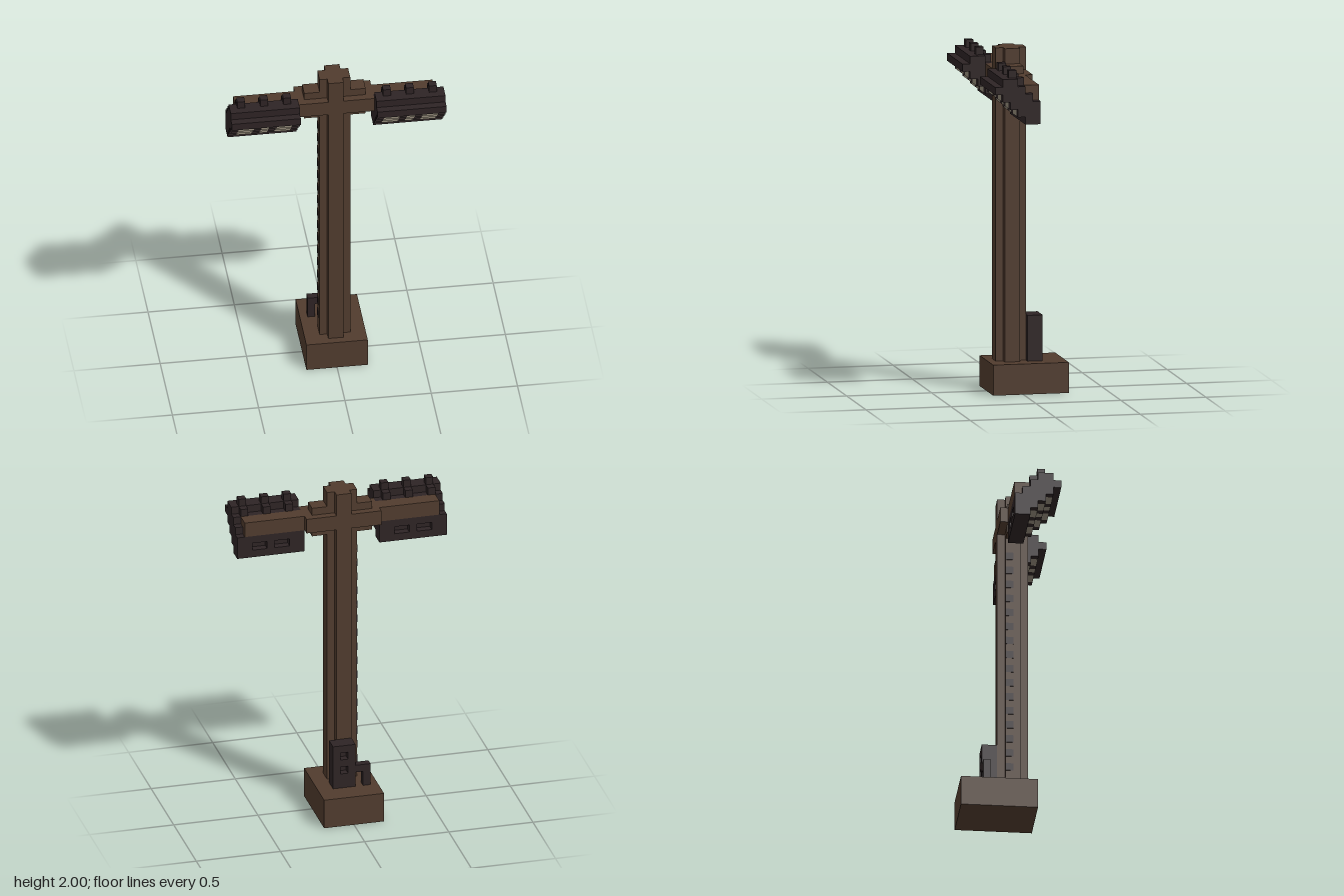
import * as THREE from 'three';

const V = 2 / 45; // one block

export function createModel() {
  const model = new THREE.Group();
  const mat = (name, color) => {
    const m = new THREE.MeshStandardMaterial({ color });
    m.name = name;
    return m;
  };
  const wood = mat('brown wood', 0x513c2e);
  const metal = mat('dark metal', 0x2e2425);
  const glass = mat('pale glass', 0x948b7a);

  // Box between block coordinates; side -1 mirrors it across x = 0
  const box = (parent, name, material, [x0, x1], [y0, y1], [z0, z1], side = 1) => {
    const mesh = new THREE.Mesh(
      new THREE.BoxGeometry((x1 - x0) * V, (y1 - y0) * V, (z1 - z0) * V), material);
    mesh.position.set(side * (x0 + x1) / 2 * V, (y0 + y1) / 2 * V, (z0 + z1) / 2 * V);
    mesh.name = name;
    parent.add(mesh);
  };
  const group = (name) => {
    const g = new THREE.Group();
    g.name = name;
    model.add(g);
    return g;
  };

  // Base and the cross-shaped pole
  box(model, 'base', wood, [-4, 4], [0, 4], [-6, 4]);
  const pole = group('pole');
  box(pole, 'poleWide', wood, [-2, 2], [4, 45], [0, 2]);
  box(pole, 'poleDeep', wood, [-1, 1], [4, 45], [-1, 3]);
  for (let y = 6; y < 38; y += 2) {
    box(pole, 'poleMark', metal, [-2.08, -1.9], [y, y + 1], [0, 1]);
  }

  // Collar and beam carrying the lamps
  const crossbar = group('crossbar');
  box(crossbar, 'collarTall', wood, [-4, 4], [39, 43], [0, 2]);
  box(crossbar, 'collarDeep', wood, [-5, 5], [40, 42], [-1, 3]);
  box(crossbar, 'beam', wood, [-13, 13], [40, 42], [0, 2]);

  // Switch box with two recessed openings, and a bent pipe beside it
  const control = group('switchBox');
  box(control, 'boxBody', metal, [-1, 2], [4, 10], [-2, -1]);
  for (const x of [-1, 1]) box(control, 'boxSide', metal, [x, x + 1], [4, 10], [-3, -2]);
  for (const [a, b] of [[4, 6], [7, 8], [9, 10]]) {
    box(control, 'boxRail', metal, [0, 1], [a, b], [-3, -2]);
  }
  box(control, 'pipeElbow', metal, [-2, -1], [6, 7], [-3, -2]);
  box(control, 'pipeLeg', metal, [-3, -2], [4, 7], [-3, -2]);

  // Lamps: stepped rows leaning forward, each [y, back z, front z]
  const rows = [[37, 0, 2], [38, 0, 3], [39, 0, 4], [40, 2, 5], [41, 2, 6], [42, 3, 5]];
  const panes = [[6, 8], [9, 10], [11, 13]];
  const frames = [[5, 6], [8, 9], [10, 11], [13, 14]];
  for (const side of [1, -1]) {
    const lamp = group(side > 0 ? 'leftLamp' : 'rightLamp');
    for (const [y, back, front] of rows) {
      const h = [y, y + 1];
      const glazed = y >= 38 && y <= 40;
      const slotted = y === 38;
      box(lamp, 'housing', metal, [5, 14], h,
        [slotted ? back + 1 : back, glazed ? front - 1 : front], side);
      if (glazed) {
        for (const p of panes) box(lamp, 'pane', glass, p, h, [front - 1, front], side);
        for (const f of frames) box(lamp, 'frame', metal, f, h, [front - 1, front], side);
      }
      // Rear vents between three posts
      if (slotted) {
        for (const p of [[5, 7], [9, 10], [12, 14]]) {
          box(lamp, 'ventPost', metal, p, h, [back, back + 1], side);
        }
      }
    }
    box(lamp, 'endPlate', metal, [13, 14], [40, 41], [1, 2], side);
    // Cooling fins stepping down the back
    for (const x of [6, 9, 12]) {
      box(lamp, 'upperFin', metal, [x, x + 1], [43, 44], [3, 4], side);
      box(lamp, 'lowerFin', metal, [x, x + 1], [42, 43], [2, 3], side);
    }
  }
  return model;
}
